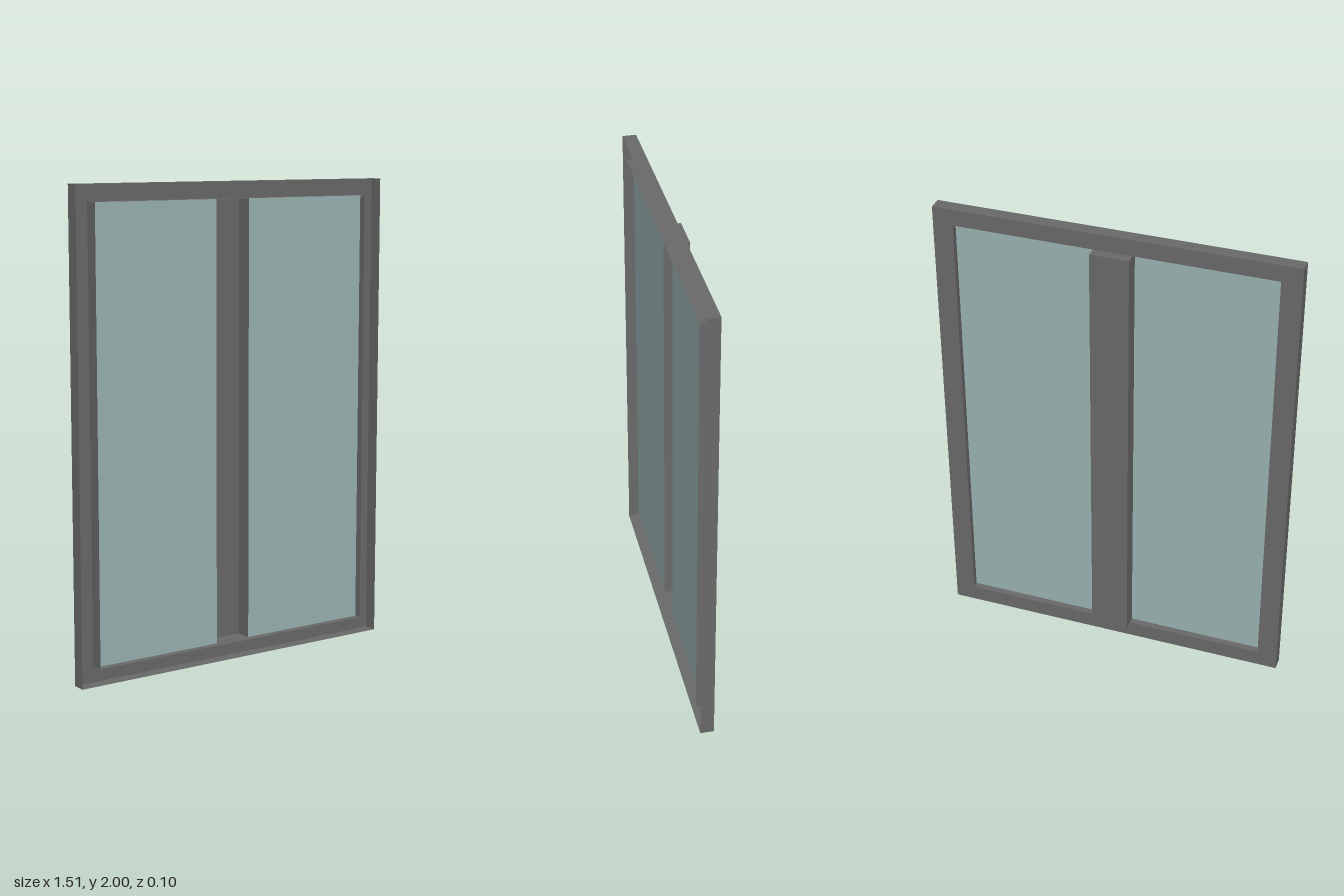
import * as THREE from 'three';
import { mergeGeometries } from 'three/addons/utils/BufferGeometryUtils.js';

const frameMat = new THREE.MeshStandardMaterial({ color: 0x696969, side: THREE.DoubleSide });
const glassMat = new THREE.MeshStandardMaterial({ color: 0x9ab2b2, side: THREE.DoubleSide });

const W = 1.51, H = 2;                        // outer size
const IW = 1.34, IH = 1.86;                   // opening size
const FRONT = 0.05, BACK = -0.008;            // frame depth
const GLASS_Z = 0.02, MULLION_BACK = -0.05, MULLION_W = 0.163;

// Four thin walls around a w x h rectangle, from z0 to z1
function walls(w, h, z0, z1) {
  const d = z1 - z0, z = (z0 + z1) / 2, parts = [];
  for (const s of [-1, 1]) {
    parts.push(new THREE.PlaneGeometry(d, h).rotateY(s * Math.PI / 2).translate(s * w / 2, 0, z));
    parts.push(new THREE.PlaneGeometry(w, d).rotateX(-s * Math.PI / 2).translate(0, s * h / 2, z));
  }
  return parts;
}

function rectangle(Type, w, h) {
  return new Type([[-1, -1], [1, -1], [1, 1], [-1, 1]]
    .map(([x, y]) => new THREE.Vector2(x * w / 2, y * h / 2)));
}

export function createModel() {
  const group = new THREE.Group();
  const add = (name, geometry, material) => {
    const mesh = new THREE.Mesh(geometry, material);
    mesh.name = name;
    mesh.position.y = H / 2;
    group.add(mesh);
    return mesh;
  };

  // Outer frame: a channel open to the front, closed at the back
  const ring = rectangle(THREE.Shape, W, H);
  ring.holes.push(rectangle(THREE.Path, IW, IH));
  const backFace = new THREE.ShapeGeometry(ring).rotateY(Math.PI).translate(0, 0, BACK);
  add('frame', mergeGeometries([
    backFace, ...walls(W, H, BACK, FRONT), ...walls(IW, IH, BACK, FRONT),
  ]), frameMat);

  // Central mullion: a tray open to the front that sticks out at the back
  add('mullion', mergeGeometries([
    new THREE.PlaneGeometry(MULLION_W, IH).rotateY(Math.PI).translate(0, 0, MULLION_BACK),
    ...walls(MULLION_W, IH, MULLION_BACK, GLASS_Z),
  ]), frameMat);

  // Glass panes either side of the mullion
  const paneW = (IW - MULLION_W) / 2;
  for (const [side, name] of [[1, 'leftPane'], [-1, 'rightPane']]) {
    const pane = add(name, new THREE.PlaneGeometry(paneW, IH), glassMat);
    pane.position.x = side * (MULLION_W + paneW) / 2;
    pane.position.z = GLASS_Z;
  }
  return group;
}
